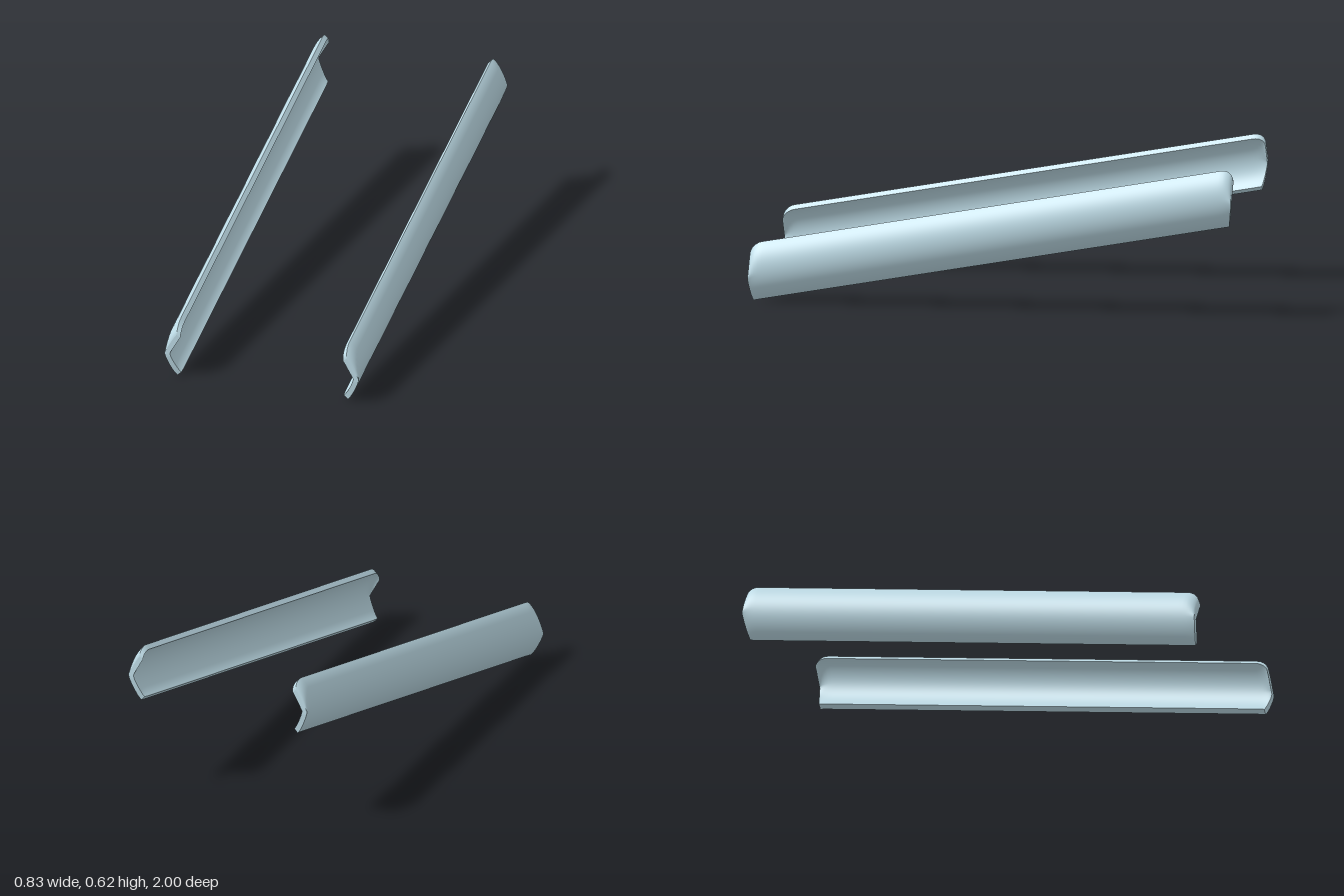
import * as THREE from 'three';
import { mergeGeometries } from 'three/addons/utils/BufferGeometryUtils.js';

const CENTRE_X = 0.25, HALF_ANGLE = 0.826, R_OUT = 0.162, R_IN = 0.139;
const SLOPE = 0.195, MID_Y = 0.318;

// Point on a rail: s runs bottom to top of the arc, r inner to outer, u back to front
function railPoint(s, r, u) {
  const angle = (s * 2 - 1) * HALF_ANGLE;
  const radius = THREE.MathUtils.lerp(R_IN, R_OUT, r);
  // end = 0 along the body, rising to 1 over the rounded end
  const t = Math.max(0, (Math.abs(u) - 0.95) / 0.05);
  const end = 1 - Math.sqrt(Math.max(0, 1 - t * t));
  // straighten the two arms and pinch the middle towards the tip
  const arm = Math.sin(Math.abs(s * 2 - 1) * Math.PI);
  const x = CENTRE_X + radius * Math.cos(angle) + end * (0.003 - 0.01 * arm);
  let dy = radius * Math.sin(angle);
  if (dy > 0) dy *= 1 - 0.38 * end;             // rounded upper corners
  dy -= 0.015 * end * Math.cos(angle * Math.PI / 2 / HALF_ANGLE);
  const z = u * (1 - 0.015 * Math.max(0, 1 - s / 0.45));
  return [x, MID_Y - SLOPE * z + dy, z];
}

// Grid patch from f(a, b); flip reverses the faces, side mirrors in x
function patch(f, na, nb, flip, side) {
  const pos = [], index = [];
  for (let i = 0; i <= na; i++) {
    for (let j = 0; j <= nb; j++) {
      const [x, y, z] = f(i / na, j / nb);
      pos.push(x * side, y, z);
    }
  }
  const reverse = flip !== (side < 0);
  for (let i = 0; i < na; i++) {
    for (let j = 0; j < nb; j++) {
      const a = i * (nb + 1) + j, b = a + nb + 1;
      if (reverse) index.push(a, b + 1, b, a, a + 1, b + 1);
      else index.push(a, b, b + 1, a, b + 1, a + 1);
    }
  }
  const g = new THREE.BufferGeometry();
  g.setAttribute('position', new THREE.Float32BufferAttribute(pos, 3));
  g.setIndex(index);
  g.computeVertexNormals();
  return g;
}

function railGeometry(side) {
  const along = v => -Math.cos(v * Math.PI);    // stations gather at both ends
  const N = 28, L = 56;
  return mergeGeometries([
    patch((s, v) => railPoint(s, 1, along(v)), N, L, false, side),  // outer shell
    patch((s, v) => railPoint(s, 0, along(v)), N, L, true, side),   // inner shell
    patch((r, v) => railPoint(0, r, along(v)), 1, L, false, side),  // lower lip
    patch((r, v) => railPoint(1, r, along(v)), 1, L, true, side),   // upper lip
    patch((r, s) => railPoint(s, r, 1), 1, N, false, side),         // front end
    patch((r, s) => railPoint(s, r, -1), 1, N, true, side),         // back end
  ]);
}

export function createModel() {
  const group = new THREE.Group();
  group.name = 'slopedRails';
  const material = new THREE.MeshStandardMaterial({ color: 0xbfdde8 });
  for (const [name, side] of [['leftRail', 1], ['rightRail', -1]]) {
    const rail = new THREE.Mesh(railGeometry(side), material);
    rail.name = name;
    group.add(rail);
  }
  return group;
}
